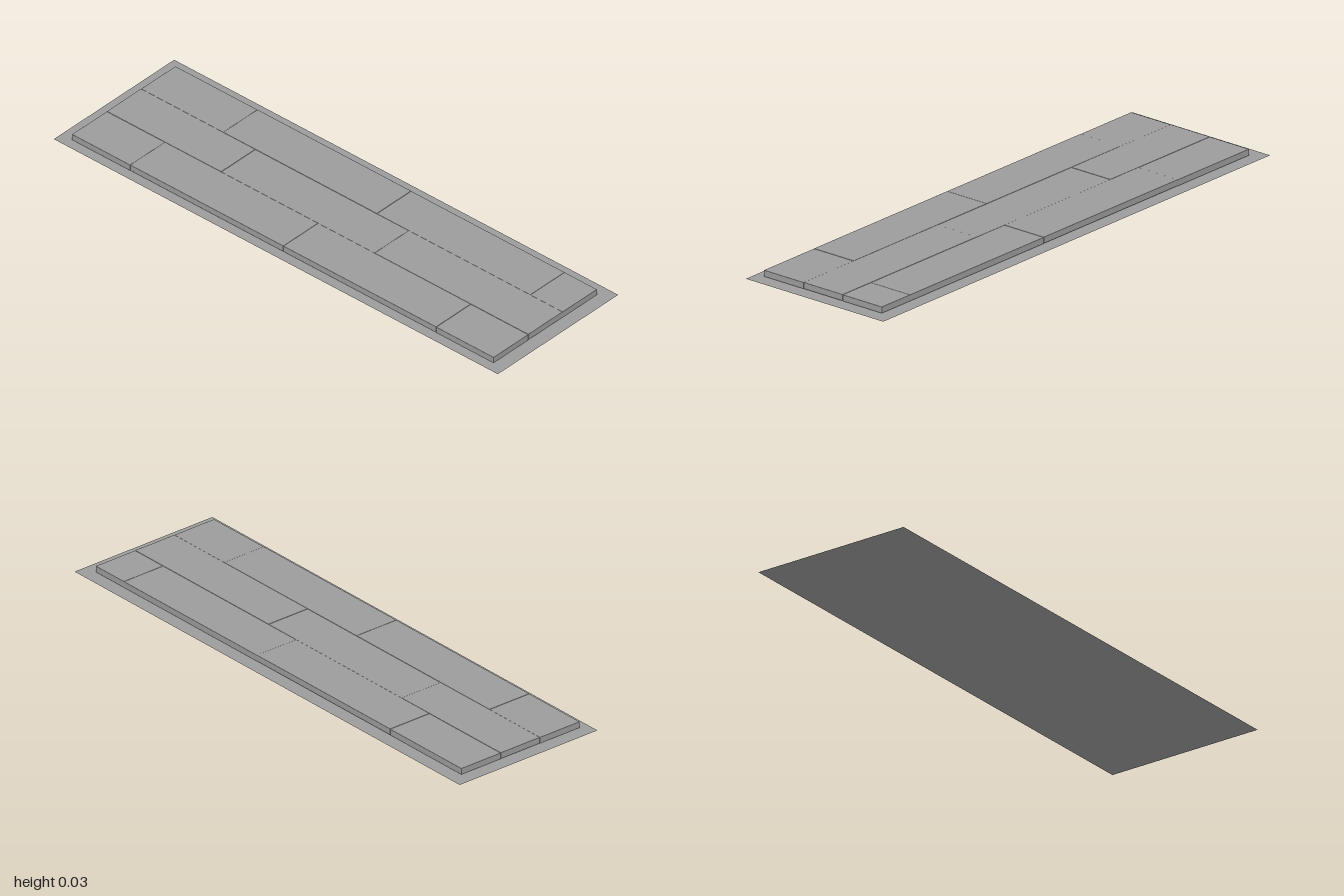
import * as THREE from 'three';
import { RoundedBoxGeometry } from 'three/addons/geometries/RoundedBoxGeometry.js';

export function createModel() {
  const model = new THREE.Group();
  model.name = 'plankFloor';
  const material = new THREE.MeshStandardMaterial({ color: 0x9c9c9c });
  const sheetMaterial = new THREE.MeshStandardMaterial({ color: 0x9c9c9c, side: THREE.DoubleSide });

  // Thin backing sheet under the planks
  const sheet = new THREE.Mesh(new THREE.PlaneGeometry(2, 0.605).rotateX(-Math.PI / 2), sheetMaterial);
  sheet.name = 'backingSheet';
  model.add(sheet);

  // Three rows of planks with staggered joints; lifts mark the planks laid slightly high
  const rows = [
    { name: 'backPlank', z0: -0.253, z1: -0.08, joints: [-0.95, -0.58, 0.112, 0.803, 0.949], lifts: [0, 1, 0, 0] },
    { name: 'middlePlank', z0: -0.08, z1: 0.092, joints: [-0.95, -0.435, 0.256, 0.949], lifts: [1, 0, 1] },
    { name: 'frontPlank', z0: 0.092, z1: 0.267, joints: [-0.95, -0.688, 0.002, 0.69, 0.949], lifts: [0, 1, 1, 0] },
  ];
  const gap = 0.0006;
  const thickness = 0.023;

  for (const row of rows) {
    row.lifts.forEach((lift, i) => {
      const [x0, x1] = [row.joints[i], row.joints[i + 1]];
      const geometry = new RoundedBoxGeometry(x1 - x0 - gap, thickness, row.z1 - row.z0 - gap, 1, 0.0008);
      const plank = new THREE.Mesh(geometry, material);
      plank.name = row.name + (i + 1);
      plank.position.set((x0 + x1) / 2, 0.002 + thickness / 2 + lift * 0.0006, (row.z0 + row.z1) / 2);
      model.add(plank);
    });
  }
  return model;
}
